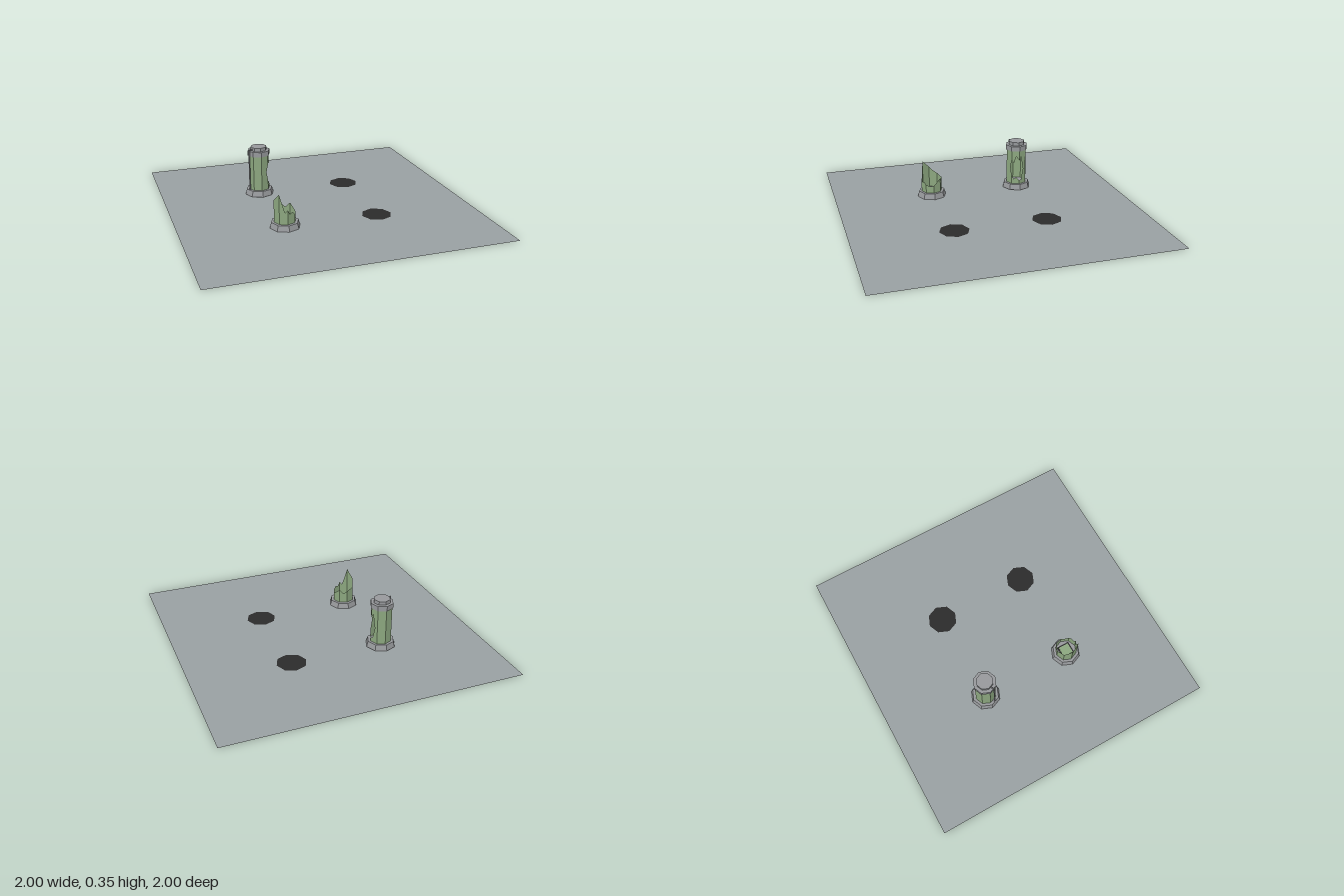
import * as THREE from 'three';

const mat = (name, color) => {
  const m = new THREE.MeshStandardMaterial({ color, flatShading: true, side: THREE.DoubleSide });
  m.name = name;
  return m;
};

export function createModel() {
  const floorMat = mat('floorGrey', 0x99a0a2);
  const stone = mat('metalGrey', 0x97999c);
  const glass = mat('tankGreen', 0x8ca77f);
  const dark = mat('darkPit', 0x2b2b2b);
  const root = new THREE.Group();
  root.name = 'brokenTankRoom';
  const D = 0.32, R = 0.102, rGlass = 0.073, floorY = 0.04;

  const add = (parent, name, geo, material, x = 0, y = 0, z = 0) => {
    const m = new THREE.Mesh(geo, material);
    m.name = name;
    m.position.set(x, y, z);
    parent.add(m);
    return m;
  };
  const octagon = (rTop, rBottom, h) => new THREE.CylinderGeometry(rTop, rBottom, h, 8);

  // Floor with an octagonal opening filled by a dark disc at three of the spots
  const pits = [[D, D], [D, -D], [-D, -D]];
  const floor = new THREE.Shape([[-1, -1], [1, -1], [1, 1], [-1, 1]].map(p => new THREE.Vector2(...p)));
  for (const [x, z] of pits) {
    const hole = [];
    for (let i = 0; i < 8; i++) {
      const a = -i * Math.PI / 4;
      hole.push(new THREE.Vector2(x + R * Math.cos(a), -z + R * Math.sin(a)));
    }
    floor.holes.push(new THREE.Path(hole));
    add(root, 'darkDisc', new THREE.CircleGeometry(R, 8).rotateX(-Math.PI / 2), dark, x, 0, z);
  }
  add(root, 'floor', new THREE.ShapeGeometry(floor).rotateX(-Math.PI / 2), floorMat);

  // Point on the octagonal tank wall; the angle runs from +z towards +x
  const wallPoint = (deg, y) => {
    const inFacet = (((deg % 45) + 45) % 45) - 22.5;
    const r = rGlass * Math.cos(Math.PI / 8) / Math.cos(THREE.MathUtils.degToRad(inFacet));
    const a = THREE.MathUtils.degToRad(deg);
    return [r * Math.sin(a), y, r * Math.cos(a)];
  };
  // Wall band between a lower and an upper edge, each given as [angle, low, high]
  const wallBand = rows => {
    const pos = [];
    for (let i = 0; i + 1 < rows.length; i++) {
      const [a, l0, h0] = rows[i], [b, l1, h1] = rows[i + 1];
      const A = wallPoint(a, l0), B = wallPoint(b, l1), C = wallPoint(b, h1), E = wallPoint(a, h0);
      pos.push(...A, ...B, ...C, ...A, ...C, ...E);
    }
    const g = new THREE.BufferGeometry();
    g.setAttribute('position', new THREE.Float32BufferAttribute(pos, 3));
    g.computeVertexNormals();
    return g;
  };

  const makeTank = (name, z) => {
    const g = new THREE.Group();
    g.name = name;
    g.position.set(-D, 0, z);
    root.add(g);
    add(g, 'base', octagon(0.092, R, floorY - 0.001), stone, 0, (floorY + 0.001) / 2, 0);
    return g;
  };

  // Standing tank: wall with a jagged hole on its +x side
  const tank = makeTank('standingTank', -D);
  const top = 0.295;
  const hole = [[35, 0.17, 0.17], [45, 0.1, 0.22], [58, 0.075, 0.2], [72, 0.09, 0.25],
    [90, 0.065, 0.22], [102, 0.07, 0.25], [112, 0.12, 0.18], [118, 0.15, 0.15]];
  const solid = [118, 135, 180, 225, 270, 315, 360, 395].map(a => [a, floorY, top]);
  add(tank, 'wall', wallBand(solid), glass);
  add(tank, 'wallBelowHole', wallBand(hole.map(([a, l]) => [a, floorY, l])), glass);
  add(tank, 'wallAboveHole', wallBand(hole.map(([a, , h]) => [a, h, top])), glass);
  add(tank, 'capRing', octagon(0.079, 0.079, 0.035), stone, 0, 0.308, 0);
  add(tank, 'capTop', octagon(0.057, 0.057, 0.025), stone, 0, 0.338, 0);

  // Thin pipe running down the outside from the cap
  const pipe = new THREE.CurvePath();
  const bends = [[-0.05, 0.335, 0.02], [-0.076, 0.335, 0.03], [-0.076, 0.04, 0.03]]
    .map(p => new THREE.Vector3(...p));
  pipe.add(new THREE.LineCurve3(bends[0], bends[1]));
  pipe.add(new THREE.LineCurve3(bends[1], bends[2]));
  for (const c of pipe.curves) add(tank, 'pipe', new THREE.TubeGeometry(c, 1, 0.005, 6), stone);

  // Shattered tank: only a jagged stump of wall is left
  const stump = makeTank('shatteredTank', D);
  const edge = [[-45, 0.245], [-28, 0.17], [-15, 0.12], [0, 0.14], [12, 0.11], [30, 0.12], [45, 0.1],
    [70, 0.09], [90, 0.095], [120, 0.125], [135, 0.14], [160, 0.11], [180, 0.13],
    [225, 0.145], [250, 0.165], [270, 0.19], [300, 0.225], [315, 0.245]];
  add(stump, 'brokenWall', wallBand(edge.map(([a, h]) => [a, floorY, h])), glass);
  add(stump, 'drainFrame', new THREE.BoxGeometry(0.09, 0.004, 0.09), dark, 0, floorY + 0.002, 0);
  add(stump, 'drainPlate', new THREE.BoxGeometry(0.072, 0.004, 0.072), glass, 0, floorY + 0.005, 0);

  return root;
}
